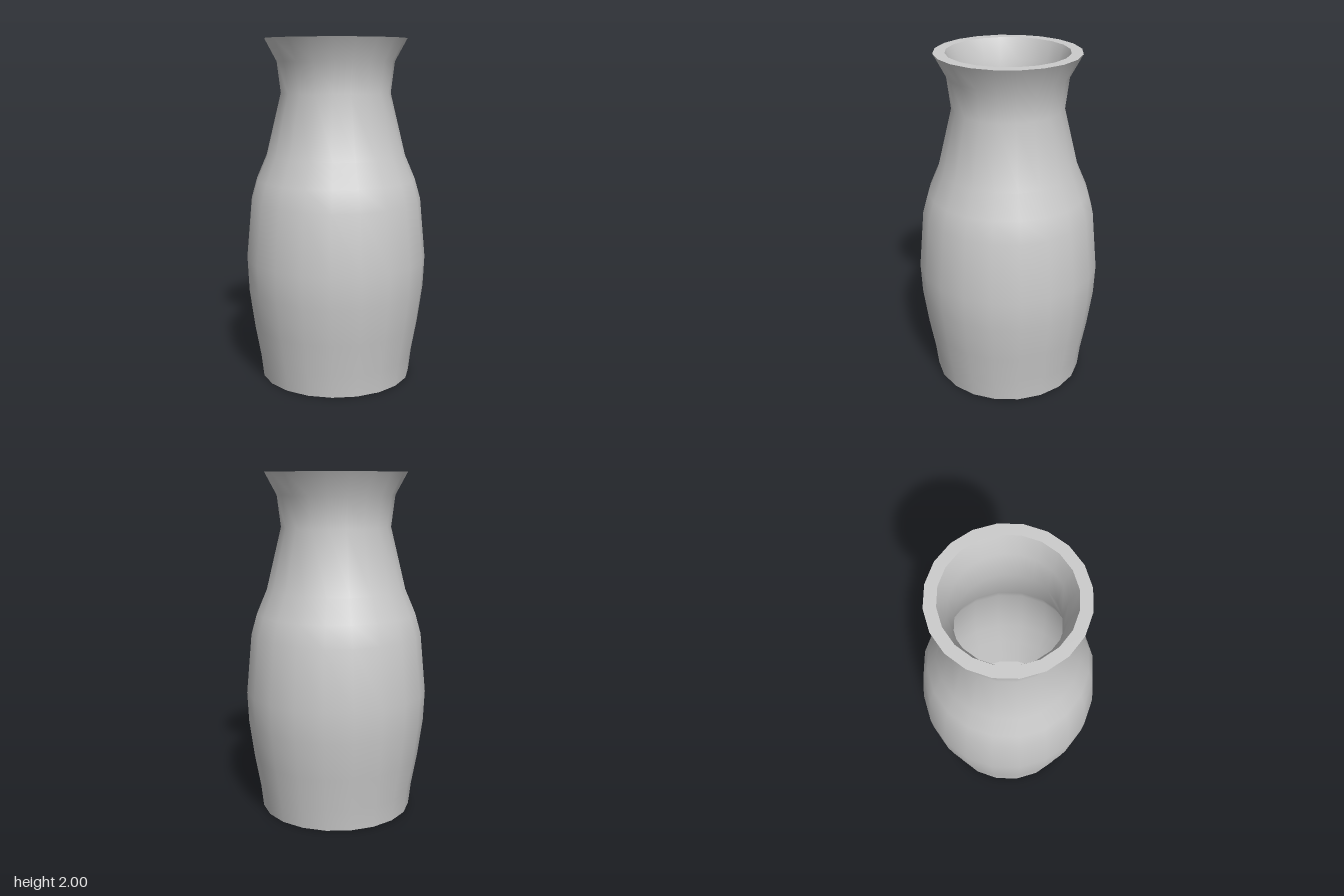
import * as THREE from 'three';
import { toCreasedNormals } from 'three/addons/utils/BufferGeometryUtils.js';

const SIDES = 20;

// Outer silhouette, [radius, height], from base to rim
const OUTER = [
  [0.448, 0], [0.463, 0.13], [0.497, 0.32], [0.527, 0.54], [0.535, 0.72],
  [0.502, 1.07], [0.468, 1.19], [0.408, 1.33], [0.32, 1.69], [0.342, 1.87], [0.412, 2],
];

// Inner wall, [radius, height], from rim down to the floor
const INNER = [
  [0.347, 2], [0.304, 1.88], [0.283, 1.69], [0.369, 1.32], [0.432, 1.17],
  [0.464, 1.06], [0.497, 0.72], [0.488, 0.54], [0.459, 0.32], [0.426, 0.13], [0.415, 0.05],
];

function lathe(name, profile, material) {
  const points = profile.map(([r, y]) => new THREE.Vector2(r, y));
  const geometry = toCreasedNormals(new THREE.LatheGeometry(points, SIDES), 0.7);
  const mesh = new THREE.Mesh(geometry, material);
  mesh.name = name;
  return mesh;
}

export function createModel() {
  const group = new THREE.Group();
  group.name = 'vase';
  const material = new THREE.MeshStandardMaterial({ color: 0xcccccc });

  // Each part runs along the profile so that its faces point out of the clay
  group.add(
    lathe('base', [[0, 0], OUTER[0]], material),
    lathe('outerWall', OUTER, material),
    lathe('rim', [OUTER[OUTER.length - 1], INNER[0]], material),
    lathe('innerWall', INNER, material),
    lathe('innerFloor', [INNER[INNER.length - 1], [0, 0.05]], material),
  );
  return group;
}
